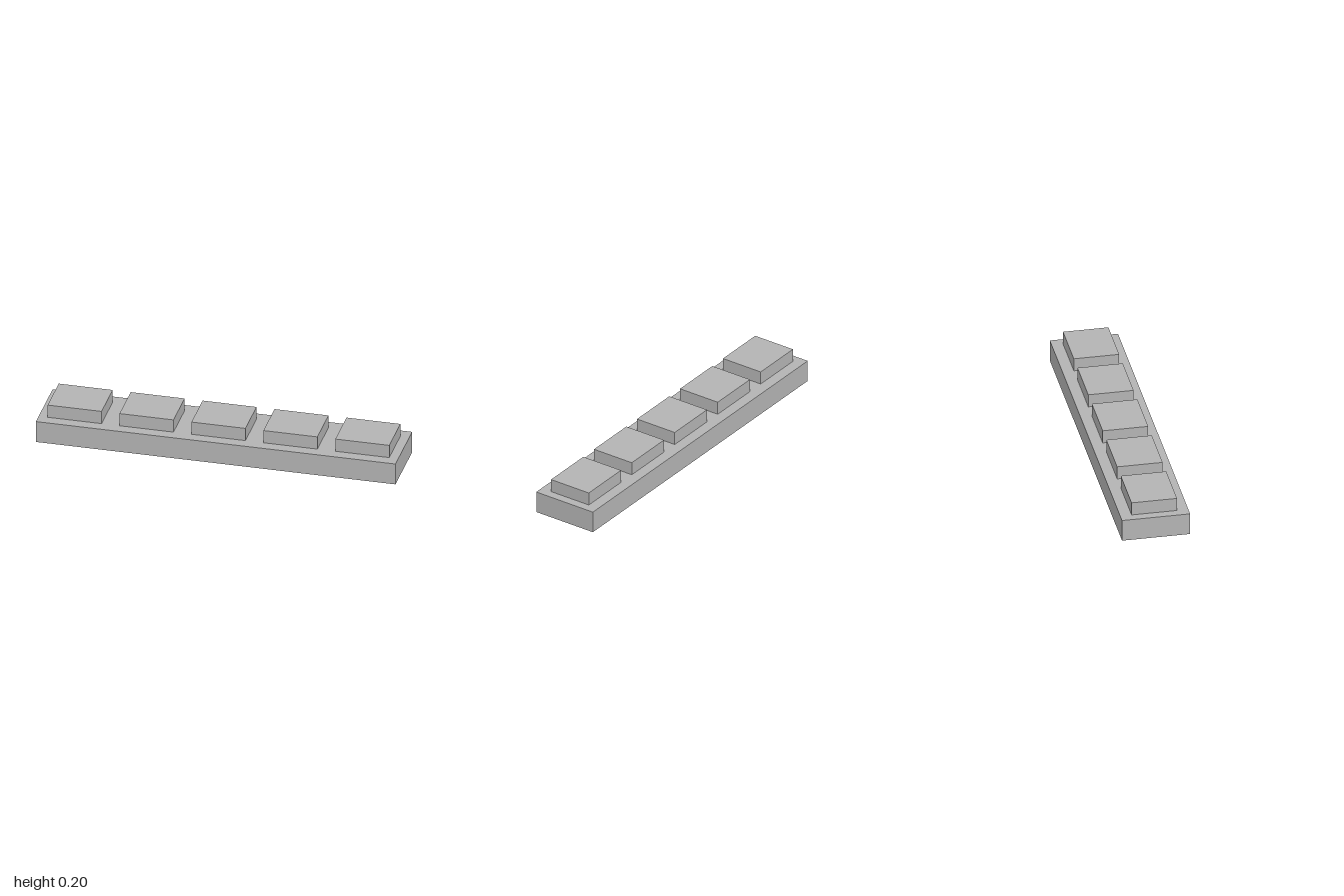
import * as THREE from 'three';

export function createModel() {
  const model = new THREE.Group();
  model.name = 'blockStrip';

  const grey = new THREE.MeshStandardMaterial({ color: 0xb3b3b3 });
  grey.name = 'plain grey';

  // Adds a box standing on the height y0
  function addBlock(name, width, height, depth, x, y0) {
    const mesh = new THREE.Mesh(new THREE.BoxGeometry(width, height, depth), grey);
    mesh.name = name;
    mesh.position.set(x, y0 + height / 2, 0);
    model.add(mesh);
  }

  // Long base bar
  const baseHeight = 0.125;
  addBlock('base', 2, baseHeight, 0.375, 0, 0);

  // Row of five evenly spaced raised pads
  const padCount = 5;
  const padSpacing = 0.4;
  for (let i = 0; i < padCount; i++) {
    const x = (i - (padCount - 1) / 2) * padSpacing;
    addBlock(`pad${i + 1}`, 0.3, 0.075, 0.25, x, baseHeight);
  }

  return model;
}
